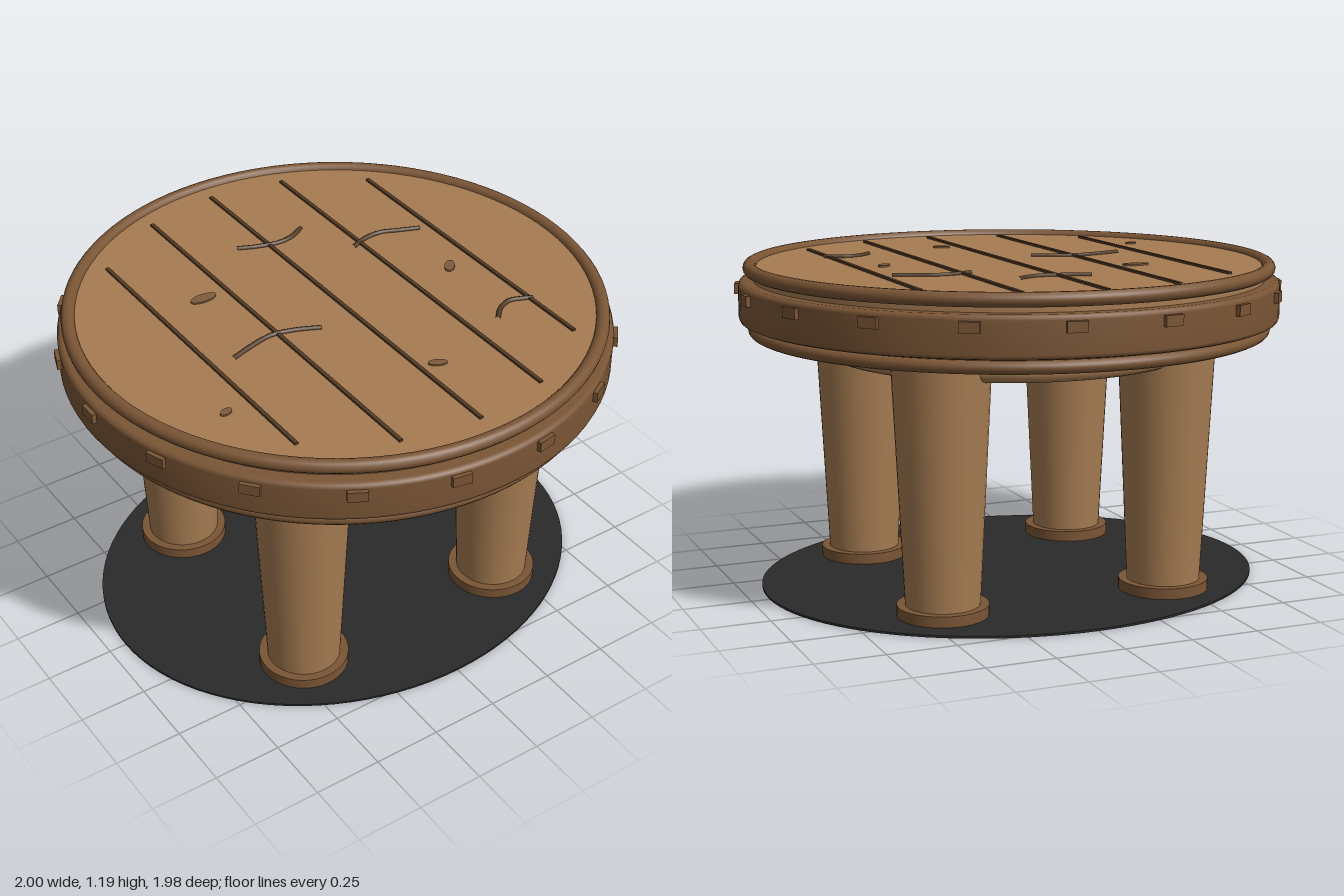
import * as THREE from 'three';

const mat = (name, color, side = THREE.FrontSide) => {
  const m = new THREE.MeshStandardMaterial({ color, side });
  m.name = name;
  return m;
};

export function createModel() {
  const wood = mat('light wood', 0xa67c52);
  const darkWood = mat('dark wood', 0x7a5535);
  const groove = mat('groove brown', 0x523a25);
  const knotWood = mat('knot brown', 0x7d5c3b);
  const black = mat('base black', 0x2a2a2a);

  const table = new THREE.Group();
  table.name = 'roundTable';
  const add = (name, geometry, material, x = 0, y = 0, z = 0) => {
    const mesh = new THREE.Mesh(geometry, material);
    mesh.name = name;
    mesh.position.set(x, y, z);
    table.add(mesh);
    return mesh;
  };
  const ring = (name, radius, tube, y, material) =>
    add(name, new THREE.TorusGeometry(radius, tube, 14, 96).rotateX(Math.PI / 2), material, 0, y);

  // Table top, its rims and the underside
  const TOP = 1.176;
  add('tableTop', new THREE.CylinderGeometry(0.93, 0.93, TOP - 1.1, 96), wood, 0, (TOP + 1.1) / 2);
  ring('topRim', 0.942, 0.025, 1.17, darkWood);
  ring('bottomRim', 0.93, 0.023, 0.948, darkWood);
  add('underside', new THREE.CylinderGeometry(0.93, 0.93, 0.05, 96), darkWood, 0, 0.968);

  // Apron band with softened edges
  const band = [[0.9, 0.978], [0.968, 0.978], [0.98, 0.983], [0.985, 0.995],
    [0.985, 1.108], [0.98, 1.12], [0.968, 1.126], [0.9, 1.126]];
  add('apron', new THREE.LatheGeometry(band.map(([r, y]) => new THREE.Vector2(r, y)), 96), darkWood);

  // Small plates around the apron
  for (let i = 0; i < 18; i++) {
    const a = (i / 18) * Math.PI * 2;
    const plate = add('apronPlate', new THREE.BoxGeometry(0.03, 0.038, 0.07), darkWood,
      Math.cos(a) * 0.985, 1.087, Math.sin(a) * 0.985);
    plate.rotation.y = -a;
  }

  // Gaps between the planks
  for (const [x, half] of [[-0.573, 0.625], [-0.287, 0.8], [0, 0.847], [0.287, 0.8], [0.573, 0.625]]) {
    add('plankGap', new THREE.BoxGeometry(0.014, 0.012, half * 2), groove, x, TOP + 0.002, 0);
  }

  // Wavy grain cracks
  const cracks = [
    [[-0.11, -0.48], [-0.04, -0.45], [0.04, -0.43], [0.1, -0.438], [0.16, -0.47]],
    [[0.25, -0.25], [0.32, -0.275], [0.39, -0.278], [0.46, -0.25], [0.53, -0.222]],
    [[-0.49, 0.108], [-0.4, 0.08], [-0.31, 0.063], [-0.23, 0.08], [-0.14, 0.12]],
    [[0.4, 0.42], [0.45, 0.372], [0.505, 0.353], [0.545, 0.365], [0.585, 0.383]],
  ];
  for (const points of cracks) {
    const curve = new THREE.CatmullRomCurve3(points.map(([x, z]) => new THREE.Vector3(x, TOP + 0.002, z)));
    add('grainCrack', new THREE.TubeGeometry(curve, 28, 0.009, 8), groove);
  }

  // Oval knots: x, z, half length, half width, turn
  for (const [x, z, rx, rz, turn] of [[-0.385, -0.265, 0.051, 0.023, 0], [0.465, 0.052, 0.035, 0.019, 0.85],
    [-0.67, 0.353, 0.024, 0.015, 0.25], [0.068, 0.516, 0.034, 0.016, -0.45]]) {
    const knot = add('knot', new THREE.CylinderGeometry(1, 1, 0.008, 28), knotWood, x, TOP + 0.002, z);
    knot.scale.set(rx, 1, rz);
    knot.rotation.y = turn;
  }

  // Tapered legs on round feet
  for (const x of [-0.43, 0.43]) {
    for (const z of [-0.43, 0.43]) {
      add('leg', new THREE.CylinderGeometry(0.177, 0.132, 0.92, 40), wood, x, 0.5, z);
      add('foot', new THREE.CylinderGeometry(0.163, 0.163, 0.048, 40), darkWood, x, 0.024, z);
    }
  }

  // Ring stretcher joining the legs
  ring('ringStretcher', 0.645, 0.035, 0.88, wood);

  // Thin oval base
  const base = add('ovalBase', new THREE.CylinderGeometry(1, 1, 0.008, 96), black, 0, 0.005, 0);
  base.scale.set(0.935, 1, 0.795);

  return table;
}
